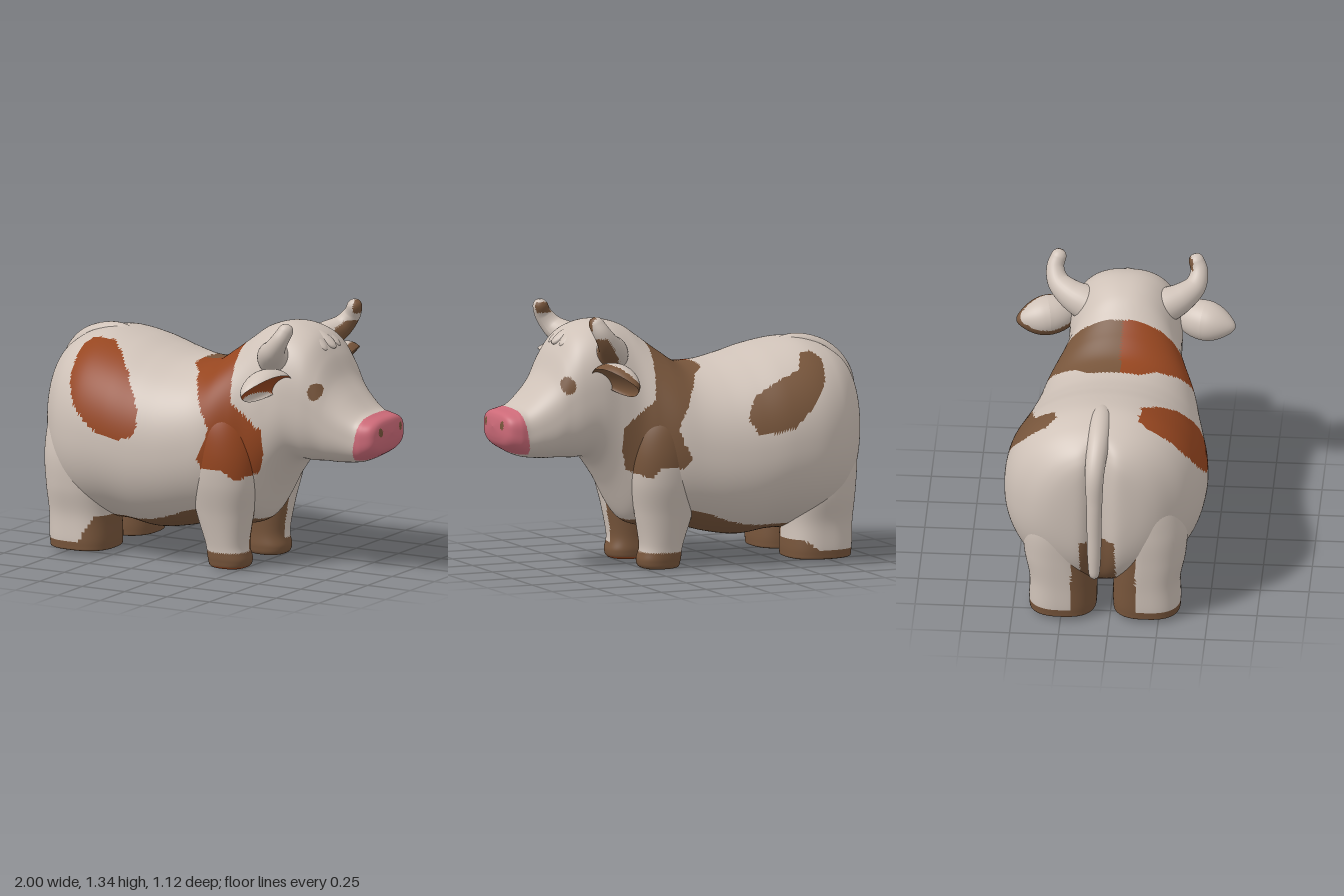
import * as THREE from 'three';

const mat = (name, color) => {
  const m = new THREE.MeshStandardMaterial({ color });
  m.name = name;
  return m;
};

// Catmull-Rom through rows of numbers, sampled at index f
function sample(rows, f) {
  const i = Math.min(Math.floor(f), rows.length - 2), t = f - i;
  const at = (k) => rows[Math.max(0, Math.min(rows.length - 1, k))];
  const [a, b, c, d] = [at(i - 1), at(i), at(i + 1), at(i + 2)];
  return b.map((_, k) => 0.5 * (2 * b[k] + (c[k] - a[k]) * t
    + (2 * a[k] - 5 * b[k] + 4 * c[k] - d[k]) * t * t
    + (3 * b[k] - a[k] - 3 * c[k] + d[k]) * t * t * t));
}

// Superellipse loft; rows are [along, centreU, centreV, halfU, halfV, power].
// axis 0 runs along x with (u, v) = (y, z); axis 1 runs along y with (z, x).
function loft(rows, axis, steps, sides) {
  const pos = [], idx = [], rings = (rows.length - 1) * steps;
  const pw = (v, n) => Math.sign(v) * Math.pow(Math.abs(v), 2 / n);
  for (let i = 0; i <= rings; i++) {
    const [t, cu, cv, hu, hv, n] = sample(rows, i / steps);
    for (let j = 0; j < sides; j++) {
      const a = (j / sides) * Math.PI * 2, p = [0, 0, 0];
      p[axis] = t;
      p[(axis + 1) % 3] = cu + Math.max(hu, 0) * pw(Math.cos(a), n);
      p[(axis + 2) % 3] = cv + Math.max(hv, 0) * pw(Math.sin(a), n);
      pos.push(...p);
      if (i < rings) {
        const k = i * sides, j2 = (j + 1) % sides;
        idx.push(k + j, k + j2, k + sides + j, k + j2, k + sides + j2, k + sides + j);
      }
    }
  }
  const g = new THREE.BufferGeometry();
  g.setAttribute('position', new THREE.Float32BufferAttribute(pos, 3));
  g.setIndex(idx);
  g.computeVertexNormals();
  return g;
}

// Sorts triangles into material groups by a rule on their centre
function paint(g, rule) {
  const p = g.attributes.position, src = g.index.array, bins = [[], [], [], []];
  for (let i = 0; i < src.length; i += 3) {
    const t = [src[i], src[i + 1], src[i + 2]];
    const mid = (f) => (f(t[0]) + f(t[1]) + f(t[2])) / 3;
    bins[rule(mid((k) => p.getX(k)), mid((k) => p.getY(k)), mid((k) => p.getZ(k)))].push(...t);
  }
  g.setIndex(bins.flat());
  let start = 0;
  bins.forEach((b, m) => {
    if (b.length) g.addGroup(start, b.length, m);
    start += b.length;
  });
  return g;
}

// Tube whose radius follows a list along its path, with a rounded tip
function taperedTube(points, radii, segs, sides, cap) {
  const curve = new THREE.CatmullRomCurve3(points.map((p) => new THREE.Vector3(...p)));
  const g = new THREE.TubeGeometry(curve, segs, 1, sides);
  const p = g.attributes.position, v = new THREE.Vector3();
  for (let i = 0; i < p.count; i++) {
    const u = Math.floor(i / (sides + 1)) / segs;
    const round = Math.sqrt(1 - Math.max(0, (u - 1 + cap) / cap) ** 2);
    const r = sample(radii.map((x) => [x]), u * (radii.length - 1))[0] * round;
    const c = curve.getPointAt(u);
    v.fromBufferAttribute(p, i).sub(c).multiplyScalar(Math.max(r, 0.0005)).add(c);
    p.setXYZ(i, v.x, v.y, v.z);
  }
  g.computeVertexNormals();
  return g;
}

function inside(poly, x, y) {
  let hit = false;
  for (let i = 0, j = poly.length - 1; i < poly.length; j = i++) {
    const [ax, ay] = poly[i], [bx, by] = poly[j];
    if ((ay > y) !== (by > y) && x < ((bx - ax) * (y - ay)) / (by - ay) + ax) hit = !hit;
  }
  return hit;
}

const WHITE = 0, RUST = 1, BROWN = 2, PINK = 3;

// Coat patches in side projection (x, y)
const shoulderPatch = [[-0.1, 1.015], [-0.12, 1.1], [0.18, 1.25], [0.2, 1.1], [0.23, 0.88], [0.3, 0.82],
  [0.39, 0.74], [0.39, 0.62], [0.36, 0.52], [0.27, 0.48], [0.22, 0.53], [0.1, 0.53], [0.07, 0.58],
  [0.11, 0.67], [0.13, 0.74], [0.1, 0.8], [0.03, 0.92], [-0.03, 0.99]];
const leftFlank = [[-0.71, 1.06], [-0.68, 1.09], [-0.64, 1.1], [-0.55, 1.095], [-0.48, 1.06], [-0.38, 0.98],
  [-0.3, 0.88], [-0.26, 0.8], [-0.25, 0.72], [-0.28, 0.67], [-0.36, 0.65], [-0.42, 0.66], [-0.52, 0.7],
  [-0.63, 0.8], [-0.69, 0.92]];
const rightFlank = [[-0.69, 1.04], [-0.65, 1.08], [-0.59, 1.075], [-0.53, 1.0], [-0.4, 0.95], [-0.27, 0.88],
  [-0.22, 0.78], [-0.27, 0.69], [-0.45, 0.72], [-0.59, 0.85], [-0.66, 0.95]];
const midZ = (x) => Math.min(0, 0.05 * (x - 0.3));

function coat(x, y, z) {
  if (x > 0.882 + (y - 0.72) * 0.2 && y > 0.612) {
    return Math.hypot((Math.abs(z) - 0.1) / 0.017, (y - 0.765) / 0.023) < 1 ? BROWN : PINK;
  }
  if (Math.hypot((x - 0.676) / 0.032, (y - 0.968) / 0.043) < 1 && Math.abs(z) > 0.1) return BROWN;
  if (inside(shoulderPatch, x, y)) return z > 0 ? RUST : BROWN;
  if (z > 0.08 && inside(leftFlank, x, y)) return RUST;
  if (z < -0.1 && inside(rightFlank, x, y)) return BROWN;
  if (x < -0.7 && y < 0.5 && Math.abs(z - midZ(x)) < 0.09) return BROWN;
  if (x > -0.85 && x < 0.36 && y < 0.2 + 0.1 * Math.exp(-(((x - 0.05) / 0.22) ** 2))) return BROWN;
  return WHITE;
}

// Rump to nose: x, bottom, top, half width, power
const profile = [
  [-0.94, 0.74, 0.74, 0, 2], [-0.93, 0.5, 0.92, 0.18, 2], [-0.9, 0.36, 1.0, 0.29, 2.1],
  [-0.84, 0.26, 1.055, 0.375, 2.2], [-0.75, 0.19, 1.1, 0.455, 2.2], [-0.62, 0.155, 1.125, 0.505, 2.2],
  [-0.45, 0.15, 1.1, 0.515, 2.2], [-0.3, 0.13, 1.06, 0.5, 2.2], [-0.15, 0.15, 1.03, 0.47, 2.2],
  [0, 0.19, 1.035, 0.43, 2.2], [0.12, 0.2, 1.11, 0.395, 2.1], [0.22, 0.2, 1.185, 0.345, 2.1],
  [0.3, 0.25, 1.24, 0.305, 2.2], [0.4, 0.43, 1.27, 0.29, 2.3], [0.5, 0.56, 1.265, 0.288, 2.4],
  [0.6, 0.57, 1.22, 0.272, 2.5], [0.67, 0.575, 1.13, 0.25, 2.5], [0.73, 0.575, 1.01, 0.23, 2.5],
  [0.8, 0.58, 0.925, 0.208, 2.5], [0.87, 0.592, 0.86, 0.189, 2.7], [0.92, 0.617, 0.838, 0.187, 3],
  [0.97, 0.65, 0.825, 0.165, 3], [0.99, 0.69, 0.8, 0.115, 2.8], [1.0, 0.75, 0.75, 0, 2.5]];

function bodyGeometry() {
  const g = loft(profile.map(([x, b, t, w, n]) =>
    [x, (b + t) / 2, midZ(x), (t - b) / 2, w, n]), 0, 11, 160);
  // Cleft down the middle of the rump
  const p = g.attributes.position;
  for (let i = 0; i < p.count; i++) {
    const x = p.getX(i);
    const depth = 0.06 * THREE.MathUtils.smoothstep(-x, 0.8, 0.93);
    p.setX(i, x + depth * Math.exp(-(((p.getZ(i) + 0.05) / 0.06) ** 2)));
  }
  g.computeVertexNormals();
  return g;
}

export function createModel() {
  const group = new THREE.Group();
  group.name = 'cow';
  const mats = [mat('cream coat', 0xcfc2b8), mat('rust patch', 0x964620),
    mat('brown patch', 0x77553b), mat('pink nose', 0xcc6a78)];
  const add = (name, geo, rule) => {
    const m = new THREE.Mesh(rule ? paint(geo, rule) : geo, rule ? mats : mats[WHITE]);
    m.name = name;
    group.add(m);
    return m;
  };

  add('bodyAndHead', bodyGeometry(), coat);

  for (const s of [1, -1]) {
    const label = s > 0 ? 'Near' : 'Far';

    // Hind leg: y, z, x, half z, half x, power
    const hz = -0.03 + s * 0.215;
    add('hindLeg' + label, loft([
      [0.015, hz, -0.695, 0, 0, 2.6], [0.015, hz, -0.695, 0.15, 0.15, 2.6], [0.05, hz, -0.695, 0.173, 0.175, 2.6],
      [0.2, hz, -0.7, 0.172, 0.178, 2.5], [0.35, hz + s * 0.015, -0.7, 0.185, 0.19, 2.3],
      [0.52, hz + s * 0.015, -0.7, 0.19, 0.2, 2.2], [0.7, hz, -0.69, 0.165, 0.195, 2],
      [0.85, hz, -0.66, 0.1, 0.13, 2]], 1, 8, 64),
    (x, y, z) => {
      const inner = s * (z - hz) < -0.05;
      const rise = s > 0 ? 0.14 : 0.05;
      const line = 0.065 + rise * THREE.MathUtils.smoothstep(x, -0.66, -0.56);
      return y < (inner ? 0.42 : line) ? BROWN : WHITE;
    });

    // Front leg fading into the shoulder
    add('frontLeg' + label, loft([
      [0, s * 0.2, 0.16, 0, 0, 2.4], [0, s * 0.2, 0.16, 0.085, 0.09, 2.4], [0.04, s * 0.2, 0.162, 0.103, 0.112, 2.4],
      [0.12, s * 0.205, 0.15, 0.105, 0.112, 2.3], [0.28, s * 0.215, 0.14, 0.125, 0.15, 2.2],
      [0.45, s * 0.235, 0.145, 0.145, 0.18, 2.1], [0.62, s * 0.23, 0.145, 0.16, 0.185, 2],
      [0.78, s * 0.21, 0.13, 0.15, 0.16, 2], [0.92, s * 0.17, 0.11, 0.1, 0.1, 2]], 1, 10, 72),
    (x, y, z) => {
      if (s > 0 && y < 0.012 && x > 0.12) return RUST;
      if (inside(shoulderPatch, x, y) && s * z > 0.15) return s > 0 ? RUST : BROWN;
      return y < (s * z < 0.18 ? 0.3 : 0.085) ? BROWN : WHITE;
    });

    // Horn curving out and up
    add('horn' + label, taperedTube([[0.42, 1.1, s * 0.17], [0.455, 1.145, s * 0.28], [0.505, 1.19, s * 0.35],
      [0.55, 1.25, s * 0.368], [0.575, 1.3, s * 0.352], [0.582, 1.335, s * 0.342]],
    [0.095, 0.088, 0.075, 0.062, 0.05, 0.042, 0.038], 48, 28, 0.1),
    (x, y, z) => {
      if (s > 0) return y > 1.265 && y < 1.32 && z < 0.338 ? BROWN : WHITE;
      if (y > 1.225) return y > 1.265 && x > 0.585 && z > -0.375 ? BROWN : WHITE;
      return z < -0.25 && x > 0.46 + 0.75 * (y - 1.12) ? BROWN : WHITE;
    });

    // Cupped ear opening forward, down and slightly outward
    const ear = paint(new THREE.SphereGeometry(1, 40, 28), (x, y) => {
      if (s > 0) return x > 0.1 && y > -0.75 ? RUST : WHITE;
      return x > -0.45 ? BROWN : WHITE;
    });
    const p = ear.attributes.position;
    for (let i = 0; i < p.count; i++) {
      const x = p.getX(i), y = p.getY(i), out = s * p.getZ(i);
      const taper = 1 - 0.35 * Math.max(0, out) ** 2;
      p.setXYZ(i, (x > 0 ? -0.05 * x : 0.1 * x) * taper,
        0.105 * y * taper - 0.01 * out, s * 0.163 * out);
    }
    ear.computeVertexNormals();
    const e = add('ear' + label, ear);
    e.material = mats;
    e.position.set(0.487, 0.995, s * 0.405);
    e.rotation.set(0, -s * 0.25, -0.78);
  }

  // Tail draped over the rump
  add('tail', taperedTube([[-0.5, 1.07, -0.05], [-0.68, 1.08, -0.055], [-0.83, 1.03, -0.06],
    [-0.925, 0.92, -0.07], [-0.952, 0.75, -0.07], [-0.958, 0.55, -0.07], [-0.962, 0.31, -0.07]],
  [0.03, 0.055, 0.058, 0.053, 0.046, 0.04, 0.038, 0.035, 0.027], 60, 24, 0.04),
  (x, y) => (y < 0.53 && x > -0.955 ? BROWN : WHITE));

  // Forelock fanned low across the brow
  for (let i = -2; i <= 2; i++) {
    const lock = add('forelock', new THREE.SphereGeometry(1, 20, 14));
    lock.scale.set(0.08, 0.024, 0.04);
    lock.position.set(0.6 - i * i * 0.014, 1.198 - i * i * 0.003, i * 0.058);
    lock.rotation.set(0, -i * 0.2, -0.55);
  }
  return group;
}
